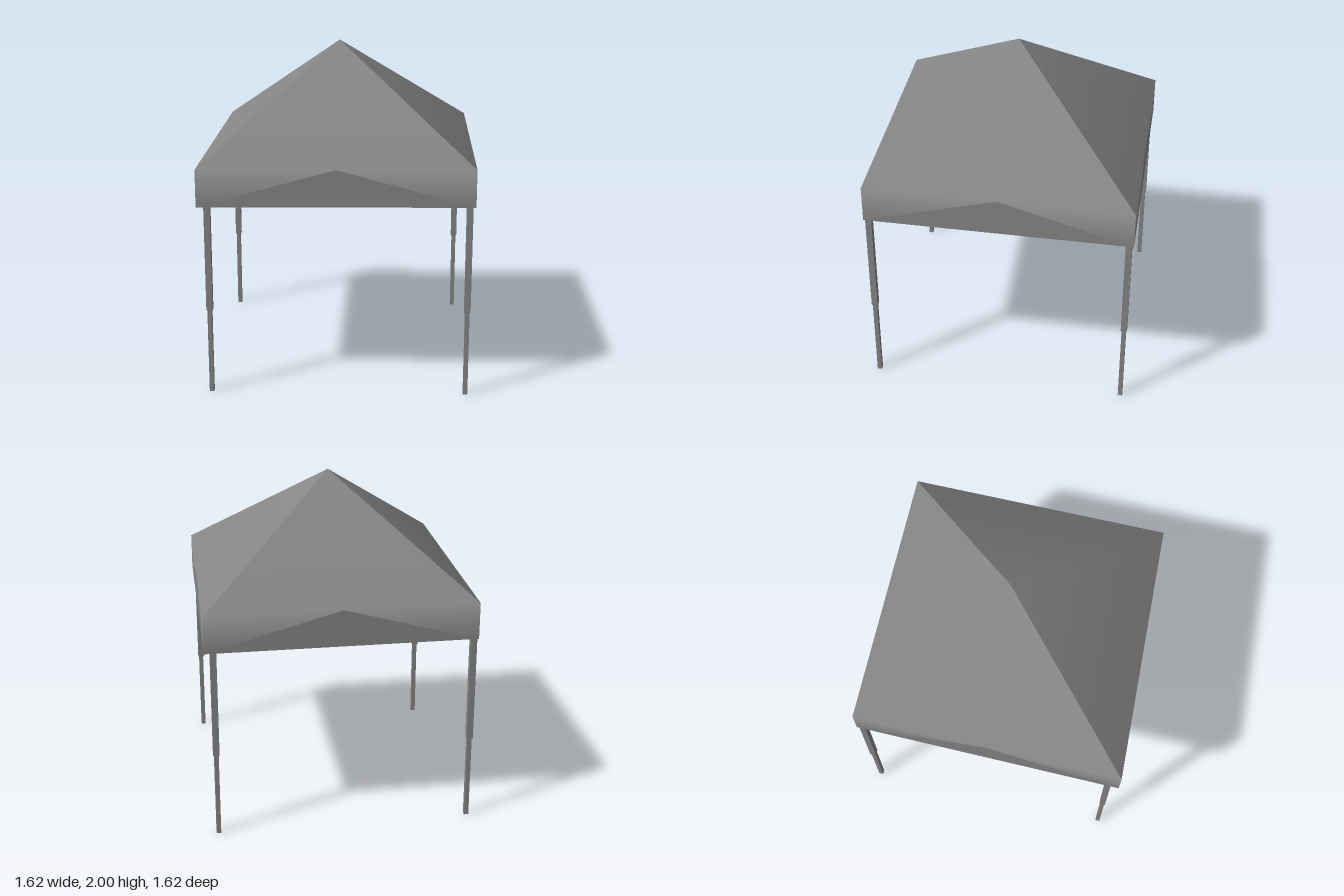
import * as THREE from 'three';

const grey = new THREE.MeshStandardMaterial({ color: 0x868686 });
const cloth = new THREE.MeshStandardMaterial({ color: 0x868686, side: THREE.DoubleSide });

const EAVE = 1.38, HEM = 1.16;
const apex = new THREE.Vector3(-0.015, 2, -0.02);
// Slightly skewed plan, counter-clockwise from the front right corner
const corners = [[-0.81, 0.81], [0.79, 0.77], [0.808, -0.81], [-0.78, -0.81]];
const legSpots = [[-0.755, 0.745], [0.756, 0.745], [0.756, -0.78], [-0.755, -0.78]];

function sheet(name, points, index) {
  const geo = new THREE.BufferGeometry().setFromPoints(points);
  geo.setIndex(index);
  geo.computeVertexNormals();
  const mesh = new THREE.Mesh(geo, cloth);
  mesh.name = name;
  return mesh;
}

// Straight square tube between two points
function tube(name, a, b, width) {
  const dir = b.clone().sub(a);
  const mesh = new THREE.Mesh(new THREE.BoxGeometry(width, dir.length(), width), grey);
  mesh.position.copy(a).add(b).multiplyScalar(0.5);
  mesh.quaternion.setFromUnitVectors(new THREE.Vector3(0, 1, 0), dir.normalize());
  mesh.name = name;
  return mesh;
}

export function createModel() {
  const model = new THREE.Group();
  model.name = 'canopyTent';
  const canopy = new THREE.Group();
  canopy.name = 'canopy';
  const frame = new THREE.Group();
  frame.name = 'frame';
  model.add(canopy, frame);

  for (let i = 0; i < 4; i++) {
    const j = (i + 1) % 4;
    const at = (k, y, s = 1) => new THREE.Vector3(corners[k][0] * s, y, corners[k][1] * s);
    const a = at(i, EAVE), b = at(j, EAVE), c = at(i, HEM), d = at(j, HEM);
    const mid = a.clone().lerp(b, 0.5);

    // Roof panel flowing softly into the two corner drops
    canopy.add(sheet('roofPanel', [a, b, mid, c, d, apex],
      [0, 2, 5, 2, 1, 5, 0, 3, 2, 2, 4, 1]));
    // Triangular valance between the drops
    canopy.add(sheet('valance', [c, d, mid], [0, 1, 2]));
    // Flat lining behind the valance, facing inwards
    const inset = 0.993;
    canopy.add(sheet('valanceLining',
      [at(i, HEM, inset), at(j, HEM, inset), at(j, 1.37, inset), at(i, 1.37, inset)],
      [0, 2, 1, 0, 3, 2]));

    // Telescopic leg
    const leg = (k, y) => new THREE.Vector3(legSpots[k][0], y, legSpots[k][1]);
    frame.add(tube('upperLeg', leg(i, 0.515), leg(i, 1.34), 0.037));
    frame.add(tube('lowerLeg', leg(i, 0), leg(i, 0.53), 0.027));

    // Eave rail and hip rafter under the cloth
    frame.add(tube('eaveRail', leg(i, 1.32), leg(j, 1.32), 0.036));
    frame.add(tube('hipRafter', leg(i, 1.34), apex.clone().setY(1.95), 0.03));
  }
  return model;
}
